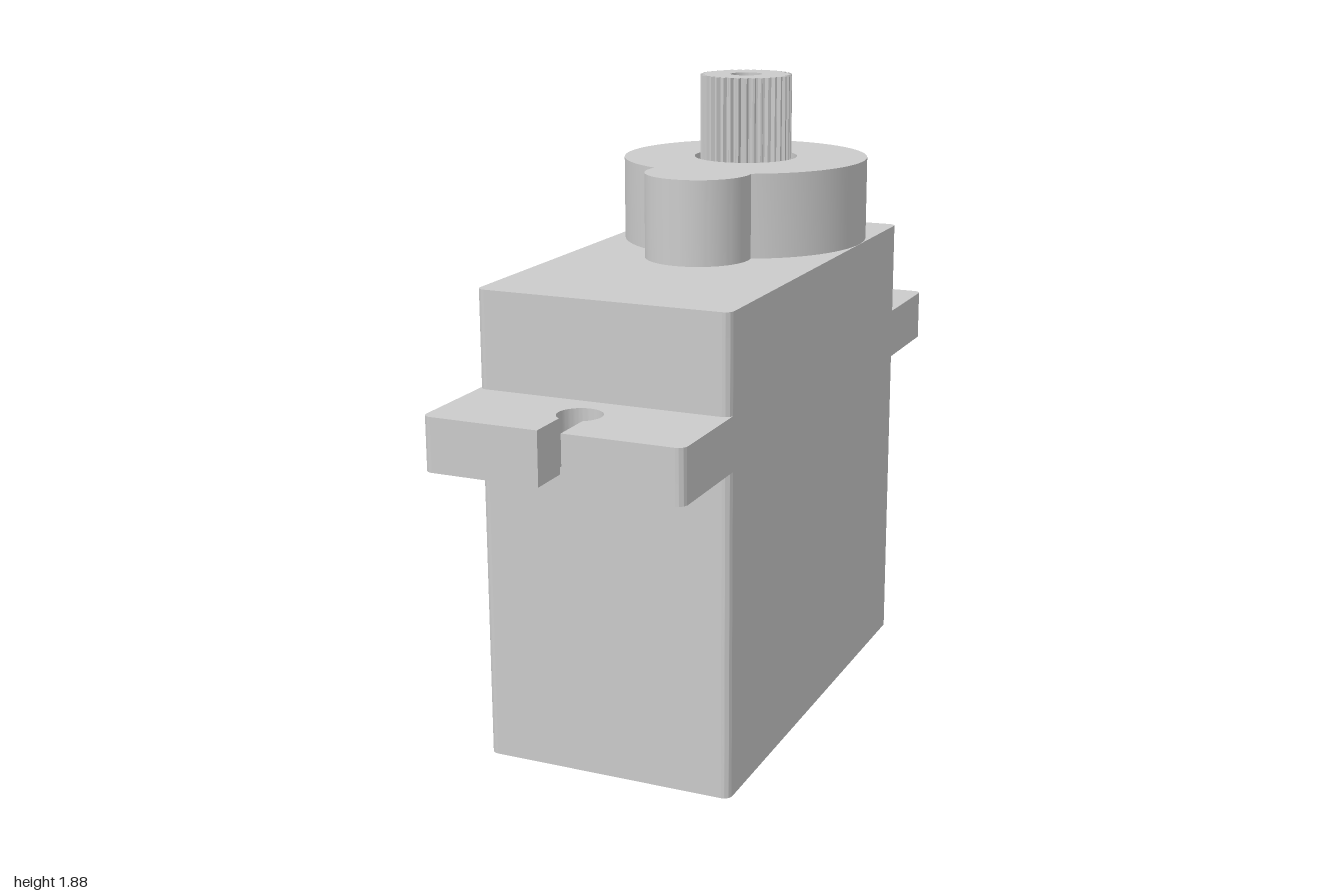
import * as THREE from 'three';
import { toCreasedNormals } from 'three/addons/utils/BufferGeometryUtils.js';

const grey = new THREE.MeshStandardMaterial({ color: 0xcccccc });

function addMesh(group, name, geometry, crease = 0.5) {
  const mesh = new THREE.Mesh(toCreasedNormals(geometry, crease), grey);
  mesh.name = name;
  group.add(mesh);
  return mesh;
}

// Plan outline (shape y points to the back, -z) raised from y0 to y1
function slab(shape, y0, y1) {
  const geometry = new THREE.ExtrudeGeometry(shape, { depth: y1 - y0, bevelEnabled: false, curveSegments: 32 });
  return geometry.rotateX(-Math.PI / 2).translate(0, y0, 0);
}

function circleHole(x, y, r) {
  const path = new THREE.Path();
  path.absarc(x, y, r, 0, Math.PI * 2, true);
  return path;
}

export function createModel() {
  const model = new THREE.Group();
  const W = 0.375, D = 0.7, R = 0.025;
  const shaftY = 0.328; // shaft axis, towards the back

  // Case with rounded upright edges; the back is rebated for a socket plate
  const inX = W - R, rebate = D - 0.06;
  const plan = new THREE.Shape();
  plan.moveTo(-inX, -D);
  plan.lineTo(inX, -D);
  plan.absarc(inX, -D + R, R, -Math.PI / 2, 0, false);
  plan.lineTo(W, D - R);
  plan.absarc(inX, D - R, R, 0, Math.PI / 2, false);
  plan.lineTo(inX, rebate);
  plan.lineTo(-inX, rebate);
  plan.lineTo(-inX, D);
  plan.absarc(-inX, D - R, R, Math.PI / 2, Math.PI, false);
  plan.lineTo(-W, -D + R);
  plan.absarc(-inX, -D + R, R, Math.PI, Math.PI * 1.5, false);
  addMesh(model, 'case', slab(plan, 0, 1.375));

  // Back plate with the cable slot
  const plate = new THREE.Shape([[-inX, 0], [inX, 0], [inX, 1.375], [-inX, 1.375]].map(p => new THREE.Vector2(...p)));
  plate.holes.push(new THREE.Path([[-0.13, 0.318], [-0.13, 0.382], [0.13, 0.382], [0.13, 0.318]].map(p => new THREE.Vector2(...p))));
  const plateGeometry = new THREE.ExtrudeGeometry(plate, { depth: D - rebate, bevelEnabled: false });
  addMesh(model, 'backPlate', plateGeometry.translate(0, 0, -D));

  // Mounting tabs with keyhole slots
  const slot = 0.034, holeR = 0.063, holeY = 0.825;
  const a = Math.acos(slot / holeR);
  const tab = new THREE.Shape();
  tab.moveTo(-W, D - 0.03);
  tab.lineTo(W, D - 0.03);
  tab.lineTo(W, 1 - R);
  tab.absarc(W - R, 1 - R, R, 0, Math.PI / 2, false);
  tab.lineTo(slot, 1);
  tab.absarc(0, holeY, holeR, a, Math.PI - a, true);
  tab.lineTo(-slot, 1);
  tab.lineTo(-W + R, 1);
  tab.absarc(-W + R, 1 - R, R, Math.PI / 2, Math.PI, false);
  addMesh(model, 'backTab', slab(tab, 0.942, 1.095));
  addMesh(model, 'frontTab', slab(tab, 0.942, 1.095).rotateY(Math.PI));

  // Gear housing: large round with a small lobe, and a well round the shaft
  const bigR = 0.374, lobeR = 0.157, lobeY = -0.043;
  const gap = shaftY - lobeY;
  const h = (gap * gap + bigR * bigR - lobeR * lobeR) / (2 * gap); // to the meeting chord
  const halfChord = Math.sqrt(bigR * bigR - h * h);
  const bigA = Math.atan2(-h, halfChord);
  const lobeA = Math.atan2(gap - h, halfChord);
  const housing = new THREE.Shape();
  housing.absarc(0, shaftY, bigR, bigA, Math.PI - bigA, false);
  housing.absarc(0, lobeY, lobeR, Math.PI - lobeA, Math.PI * 2 + lobeA, false);
  housing.holes.push(circleHole(0, shaftY, 0.158));
  addMesh(model, 'gearHousing', slab(housing, 1.375, 1.625));

  // Toothed output shaft with a screw hole
  const teeth = 36, points = [];
  for (let i = 0; i < teeth * 4; i++) {
    const r = i % 4 < 2 ? 0.14 : 0.129;
    const t = (i / (teeth * 4)) * Math.PI * 2;
    points.push(new THREE.Vector2(r * Math.cos(t), shaftY + r * Math.sin(t)));
  }
  const spline = new THREE.Shape(points);
  spline.holes.push(circleHole(0, shaftY, 0.048));
  addMesh(model, 'outputShaft', slab(spline, 1.375, 1.875));

  // Three cable wires leaving the slot
  for (let i = -1; i <= 1; i++) {
    const wire = new THREE.CylinderGeometry(0.021, 0.021, 0.16, 20).rotateX(Math.PI / 2);
    addMesh(model, 'wire', wire.translate(i * 0.064, 0.35, -0.72));
  }
  return model;
}
